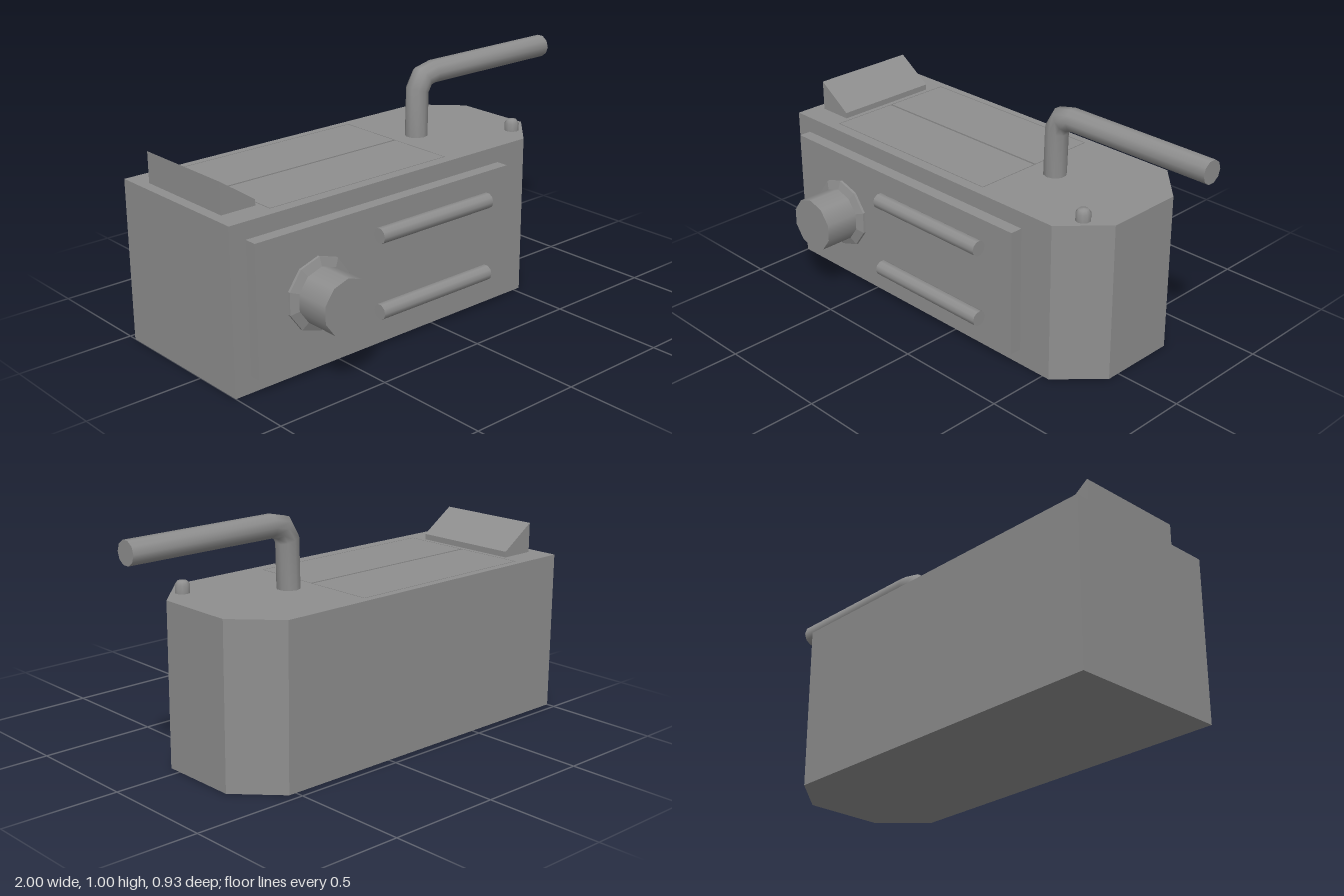
import * as THREE from 'three';

const grey = new THREE.MeshStandardMaterial({ color: 0x8e8e8e });

export function createModel() {
  const model = new THREE.Group();

  const add = (name, geometry, x = 0, y = 0, z = 0) => {
    const mesh = new THREE.Mesh(geometry, grey);
    mesh.name = name;
    mesh.position.set(x, y, z);
    model.add(mesh);
    return mesh;
  };
  const box = (name, [x0, x1], [y0, y1], [z0, z1]) =>
    add(name, new THREE.BoxGeometry(x1 - x0, y1 - y0, z1 - z0),
      (x0 + x1) / 2, (y0 + y1) / 2, (z0 + z1) / 2);
  // Shape from [x, z] points, extruded upwards
  const plan = (points) => new THREE.Shape(points.map(([x, z]) => new THREE.Vector2(x, -z)));
  const extrudeUp = (shape, depth) =>
    new THREE.ExtrudeGeometry(shape, { depth, bevelEnabled: false }).rotateX(-Math.PI / 2);

  // Housing with two chamfered corners; the deck is open around the hatch
  const outline = [[-1, 0.228], [0.534, 0.228], [0.703, 0.055], [0.703, -0.291], [0.534, -0.463], [-1, -0.463]];
  const top = 0.69, groove = 0.01;
  add('body', extrudeUp(plan(outline), top - groove));
  const deck = plan(outline);
  deck.holes.push(plan([[-0.78, 0.18], [-0.78, -0.43], [0.117, -0.43], [0.117, 0.18]]));
  add('deck', extrudeUp(deck, groove), 0, top - groove, 0);

  // Two hatch leaves with a narrow groove around each
  for (const [z0, z1] of [[-0.426, -0.128], [-0.118, 0.176]])
    box('hatchLeaf', [-0.776, 0.113], [top - groove, top], [z0, z1]);

  // Sloped block at the end of the deck
  const wedge = new THREE.Shape([[-0.955, top], [-0.8, top], [-0.8, 0.715], [-0.955, 0.82]]
    .map(([x, y]) => new THREE.Vector2(x, y)));
  add('wedge', new THREE.ExtrudeGeometry(wedge, { depth: 0.475, bevelEnabled: false }), 0, 0, -0.356);

  // Front panel with knob and two handle bars
  box('frontPanel', [-0.928, 0.377], [0.07, 0.62], [0.228, 0.282]);
  const disc = (rFront, rBack, z0, z1) =>
    new THREE.CylinderGeometry(rFront, rBack, z1 - z0, 10).rotateX(Math.PI / 2)
      .translate(-0.643, 0.345, (z0 + z1) / 2);
  const faceted = (geometry) => {
    const flat = geometry.toNonIndexed();
    flat.computeVertexNormals();
    return flat;
  };
  add('knobBase', faceted(disc(0.152, 0.152, 0.286, 0.297)));
  add('knobCollar', faceted(disc(0.116, 0.152, 0.297, 0.31)));
  add('knob', disc(0.116, 0.116, 0.282, 0.462));
  for (const y of [0.19, 0.51])
    add('handleBar', new THREE.CylinderGeometry(0.033, 0.033, 0.594, 10).rotateZ(Math.PI / 2),
      -0.066, y, 0.3165);

  // Bent pipe with its end cap
  const path = [[0.232, 0.68], [0.238, 0.89], [0.268, 0.941], [0.325, 0.954], [1, 0.954]];
  add('pipe', sweepPipe(path, 0.049, 10), 0, 0, -0.117);
  add('pipeEnd', new THREE.CircleGeometry(0.049, 10).rotateY(Math.PI / 2), 1, 0.954, -0.117);

  // Small domed button
  const button = [[0.031, 0], [0.031, 0.033], [0.02, 0.048], [0, 0.052]];
  add('button', new THREE.LatheGeometry(button.map(([r, y]) => new THREE.Vector2(r, y)), 10),
    0.586, top, 0.108);

  return model;
}

// Round pipe along an XY polyline, with mitred joints
function sweepPipe(path, radius, sides) {
  const pts = path.map(([x, y]) => new THREE.Vector2(x, y));
  const position = [], index = [];
  pts.forEach((p, i) => {
    const before = p.clone().sub(pts[Math.max(i - 1, 0)]).normalize();
    const after = pts[Math.min(i + 1, pts.length - 1)].clone().sub(p).normalize();
    const t = before.clone().add(after).normalize();
    const miter = radius / t.dot(i ? before : after);
    for (let j = 0; j < sides; j++) {
      const a = (j / sides) * Math.PI * 2;
      const n = Math.sin(a) * miter;
      position.push(p.x - t.y * n, p.y + t.x * n, Math.cos(a) * radius);
      if (i === 0) continue;
      // Rings run clockwise as seen along the path
      const k = (j + 1) % sides, r0 = (i - 1) * sides, r1 = i * sides;
      index.push(r0 + j, r1 + j, r1 + k, r0 + j, r1 + k, r0 + k);
    }
  });
  const geometry = new THREE.BufferGeometry();
  geometry.setAttribute('position', new THREE.Float32BufferAttribute(position, 3));
  geometry.setIndex(index);
  geometry.computeVertexNormals();
  return geometry;
}
